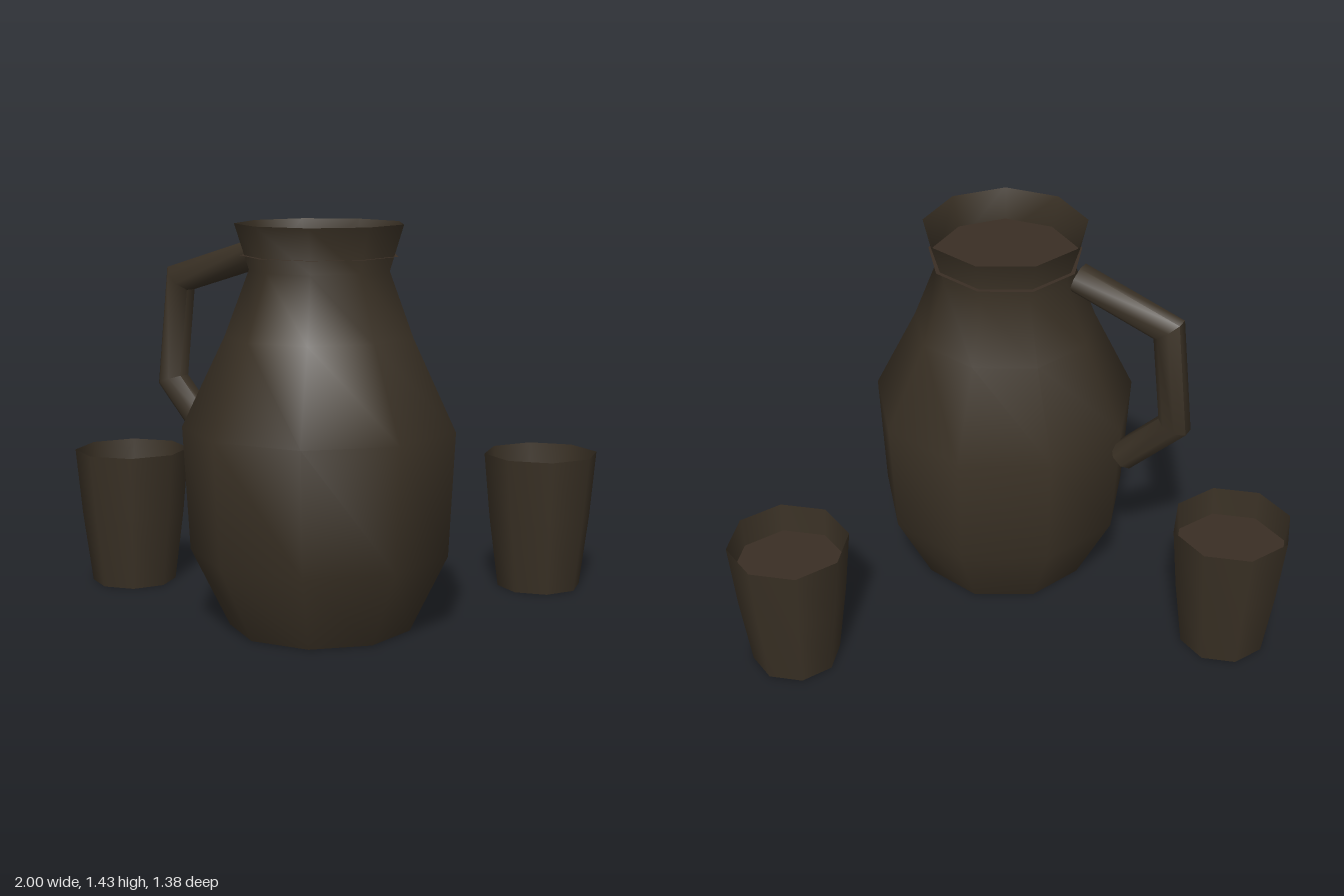
import * as THREE from 'three';
import { toCreasedNormals } from 'three/addons/utils/BufferGeometryUtils.js';

const clay = new THREE.MeshStandardMaterial({ color: 0x3a3125, side: THREE.DoubleSide });
clay.name = 'dark clay';
const liquid = new THREE.MeshStandardMaterial({ color: 0x3a2e24, side: THREE.DoubleSide });
liquid.name = 'drink';

// Surface of revolution from [radius, height] pairs listed bottom to top
function turned(name, profile, sides, phase, material) {
  const points = profile.map(([r, y]) => new THREE.Vector2(r, y));
  const mesh = new THREE.Mesh(new THREE.LatheGeometry(points, sides, phase), material);
  mesh.name = name;
  return mesh;
}

// Open vessel: smooth wall, flat base and a flat drink surface
function vessel(name, profile, sides, phase, [drinkRadius, drinkY]) {
  const group = new THREE.Group();
  group.name = name;
  group.add(
    turned(name + 'Wall', profile, sides, phase, clay),
    turned(name + 'Base', [[0, 0], profile[0]], sides, phase, clay),
    turned(name + 'Drink', [[drinkRadius, drinkY], [0, drinkY]], sides, phase, liquid),
  );
  return group;
}

// Bent tube in the XY plane with mitred elbows and capped ends
function bentTube(path, radius, sides) {
  const pts = path.map(([x, y]) => new THREE.Vector2(x, y));
  const positions = [];
  const index = [];
  pts.forEach((p, i) => {
    const before = pts[Math.max(i - 1, 0)];
    const after = pts[Math.min(i + 1, pts.length - 1)];
    const dIn = (i > 0 ? p.clone().sub(before) : after.clone().sub(p)).normalize();
    const dOut = (i < pts.length - 1 ? after.clone().sub(p) : dIn.clone()).normalize();
    const dir = dIn.clone().add(dOut).normalize();
    const stretch = radius / dir.dot(dIn);
    for (let k = 0; k < sides; k++) {
      const a = ((k + 0.5) / sides) * Math.PI * 2;
      const n = Math.cos(a) * stretch;
      positions.push(p.x - dir.y * n, p.y + dir.x * n, Math.sin(a) * radius);
    }
  });
  for (let i = 0; i < pts.length - 1; i++) {
    for (let k = 0; k < sides; k++) {
      const a = i * sides + k;
      const b = i * sides + ((k + 1) % sides);
      index.push(a, b, a + sides, b, b + sides, a + sides);
    }
  }
  const last = (pts.length - 1) * sides;
  for (let k = 1; k < sides - 1; k++) {
    index.push(0, k + 1, k, last, last + k, last + k + 1);
  }
  const geometry = new THREE.BufferGeometry();
  geometry.setAttribute('position', new THREE.Float32BufferAttribute(positions, 3));
  geometry.setIndex(index);
  return toCreasedNormals(geometry, Math.PI / 3.5);
}

export function createModel() {
  const model = new THREE.Group();
  model.name = 'jugAndCups';

  // Nine-sided jug with a flared mouth
  const jugProfile = [[0.327, 0], [0.464, 0.28], [0.488, 0.72], [0.335, 1.04], [0.249, 1.27], [0.299, 1.43]];
  const jug = vessel('jug', jugProfile, 9, THREE.MathUtils.degToRad(27.7), [0.28, 1.32]);
  jug.position.set(-0.1, 0, 0.21);
  model.add(jug);

  // Angular handle pointing to the back right of the jug
  const path = [[0.295, 1.31], [0.65, 1.205], [0.695, 0.825], [0.5, 0.62]];
  const handle = new THREE.Mesh(bentTube(path, 0.056, 8), clay);
  handle.name = 'handle';
  handle.rotation.y = THREE.MathUtils.degToRad(138);
  jug.add(handle);

  // Two eight-sided cups
  const cupProfile = [[0.16, 0], [0.195, 0.27], [0.218, 0.52]];
  for (const [name, x, z] of [['rightCup', -0.782, -0.48], ['leftCup', 0.782, -0.25]]) {
    const cup = vessel(name, cupProfile, 8, 0, [0.206, 0.41]);
    cup.position.set(x, 0, z);
    model.add(cup);
  }
  return model;
}
